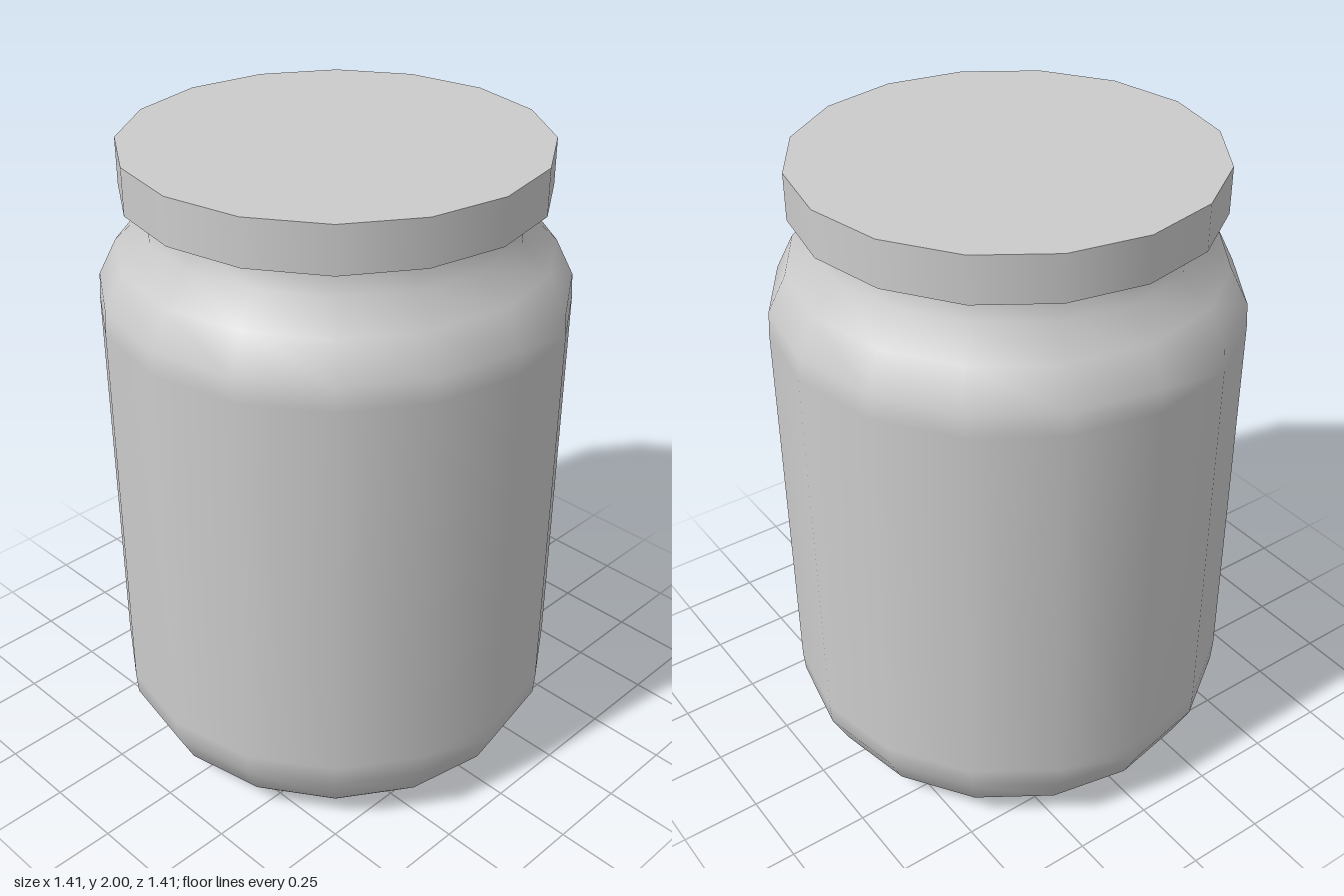
import * as THREE from 'three';

const SIDES = 16;
const material = new THREE.MeshStandardMaterial({ color: 0xcccccc });

// Revolve a profile of [radius, height] pairs, listed from bottom to top
function turned(name, profile) {
  const points = profile.map(([r, y]) => new THREE.Vector2(r, y));
  const mesh = new THREE.Mesh(new THREE.LatheGeometry(points, SIDES), material);
  mesh.name = name;
  return mesh;
}

export function createModel() {
  const jar = new THREE.Group();
  jar.name = 'jar';

  // Glass body: rounded base, straight wall, rounded shoulder and neck
  const body = new THREE.Group();
  body.name = 'body';
  body.add(
    turned('base', [[0, 0], [0.555, 0]]),
    turned('wall', [
      [0.555, 0], [0.645, 0.09], [0.7, 0.2], [0.705, 0.27],
      [0.705, 1.51], [0.7, 1.58], [0.645, 1.69], [0.56, 1.77], [0.56, 1.87],
    ]),
  );

  // Flat lid overhanging the neck, with sharp rims
  const lid = new THREE.Mesh(new THREE.CylinderGeometry(0.625, 0.625, 0.14, SIDES), material);
  lid.name = 'lid';
  lid.position.y = 1.93;

  jar.add(body, lid);
  return jar;
}
